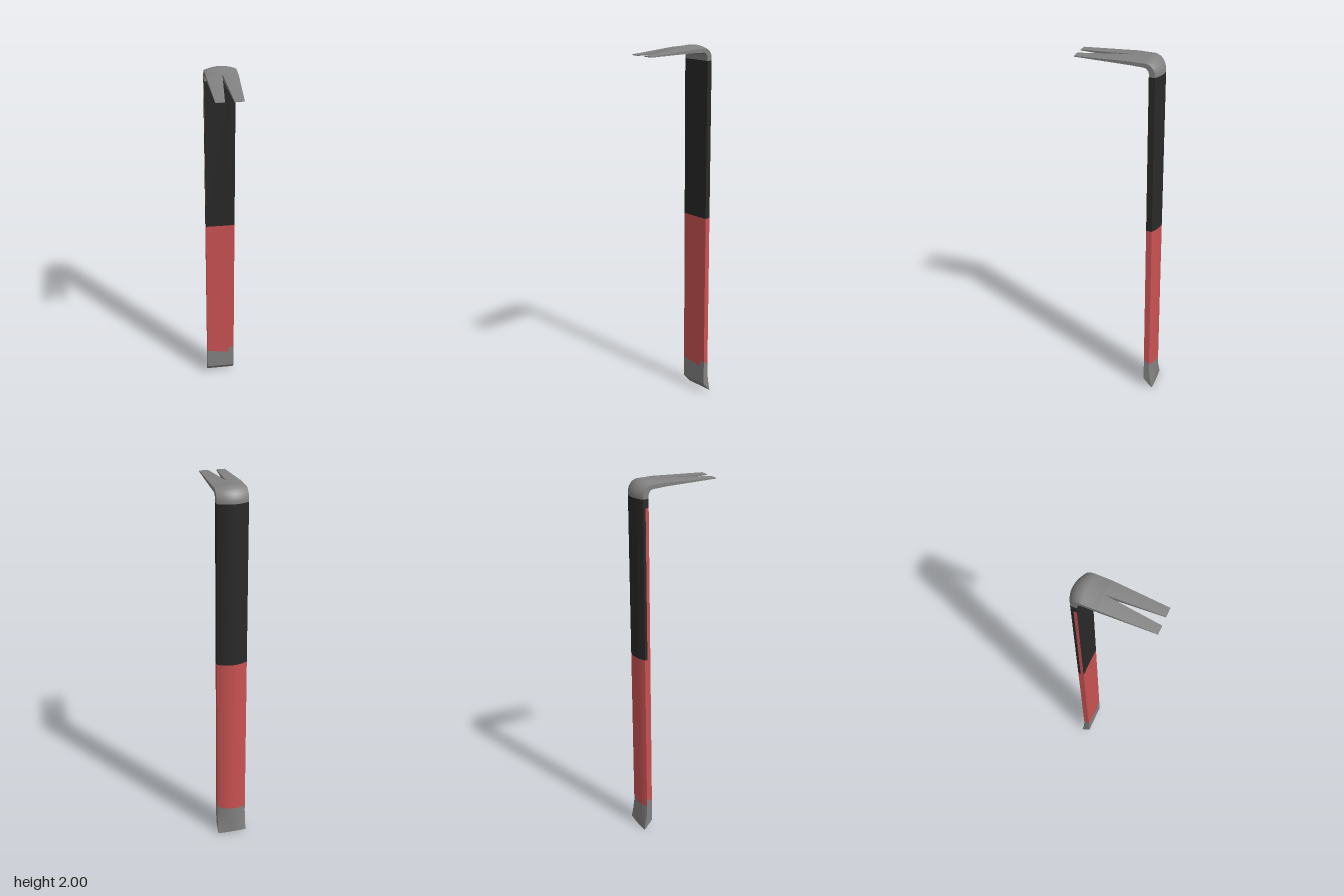
import * as THREE from 'three';
import { toCreasedNormals } from 'three/addons/utils/BufferGeometryUtils.js';

const W = 0.08; // half width of the bar
const ARC = 14; // segments over the crowned back

// Station on the bar: inner face position, outward angle, thickness at edges and centre
const station = (y, z, angle, side, crown) => ({ y, z, angle, side, crown });
const shaft = (y) => station(y, -0.165, 0, 0.031, 0.057);

// D-shaped ring: flat inner face, straight sides, crowned outer face.
// edge(i) gives an optional height offset for each point group.
function ring(s, xa = -W, xb = W, edge = () => 0) {
  const pts = [];
  const add = (x, d, part) => pts.push(new THREE.Vector3(
    x, s.y + d * Math.sin(s.angle) + edge(x, part), s.z - d * Math.cos(s.angle)));
  const depth = (x) => s.side + (s.crown - s.side) * (1 - (x / W) ** 2);
  const step = xa + (xb - xa) * 0.81;
  add(xa, 0, 'front');
  add(step, 0, 'front');
  add(step, 0, 'notch');
  add(xb, 0, 'notch');
  for (let i = 0; i <= ARC; i++) {
    const x = xb + (xa - xb) * i / ARC;
    add(x, depth(x), 'back');
  }
  add(xa, depth(xa), 'side');
  add(xa, depth(xa) * 0.55, 'side');
  return pts;
}

// Skin a list of rings; keep() selects columns, caps close the ends
function loft(rings, { keep = () => true, capStart = false, capEnd = false } = {}) {
  const pos = [];
  const ab = new THREE.Vector3(), ac = new THREE.Vector3();
  const tri = (a, b, c) => {
    ab.subVectors(b, a); ac.subVectors(c, a);
    if (ab.cross(ac).length() > 1e-10) pos.push(...a.toArray(), ...b.toArray(), ...c.toArray());
  };
  const n = rings[0].length;
  for (let r = 0; r + 1 < rings.length; r++) {
    for (let j = 0; j < n; j++) {
      if (!keep(j, n)) continue;
      const k = (j + 1) % n, a = rings[r], b = rings[r + 1];
      tri(a[j], a[k], b[k]);
      tri(a[j], b[k], b[j]);
    }
  }
  const cap = (pts, flip) => {
    const c = pts.reduce((s, p) => s.add(p), new THREE.Vector3()).divideScalar(n);
    pts.forEach((p, j) => {
      const q = pts[(j + 1) % n];
      if (flip) tri(c, q, p); else tri(c, p, q);
    });
  };
  if (capStart) cap(rings[0], true);
  if (capEnd) cap(rings[rings.length - 1], false);
  const g = new THREE.BufferGeometry();
  g.setAttribute('position', new THREE.Float32BufferAttribute(pos, 3));
  return toCreasedNormals(g, 0.5);
}

export function createModel() {
  const steel = new THREE.MeshStandardMaterial({ color: 0x828282 });
  const red = new THREE.MeshStandardMaterial({ color: 0xca5252 });
  const black = new THREE.MeshStandardMaterial({ color: 0x292929 });
  steel.name = 'steel';
  red.name = 'red paint';
  black.name = 'black grip';

  const group = new THREE.Group();
  group.name = 'pryBar';
  const part = (name, geometry, material) => {
    const mesh = new THREE.Mesh(geometry, material);
    mesh.name = name;
    group.add(mesh);
  };

  // Uneven edge where the red paint meets the bare steel
  const paintEdge = (x, where) => ({
    front: -0.008 - x * 0.15,
    notch: 0.022,
    back: -0.012 + x * 0.1,
    side: 0.025,
  })[where];
  const paintLine = ring(shaft(0.175), -W, W, paintEdge);

  // Chisel foot, bevelled on the front
  part('chiselFoot', loft([
    ring(station(0, -0.212, 0, 0.004, 0.006)),
    ring(station(0.055, -0.165, 0, 0.04, 0.055)),
    ring(shaft(0.12)),
    paintLine,
  ], { capStart: true }), steel);

  // Painted lower shaft
  part('lowerShaft', loft([paintLine, ring(shaft(1.07))]), red);

  // Black upper shaft with a narrow red seam along one side
  const seamTop = ring(shaft(1.88));
  const upper = [ring(shaft(1.07)), seamTop];
  part('upperShaft', loft(upper, { keep: (j, n) => j !== n - 1 }), black);
  part('sideSeam', loft(upper, { keep: (j, n) => j === n - 1 }), red);
  part('upperShaftEnd', loft([seamTop, ring(shaft(1.925))]), black);

  // Bent neck, thinning toward the claw
  const neck = [ring(shaft(1.925))];
  const R = 0.03, STEPS = 8;
  for (let i = 0; i <= STEPS; i++) {
    const t = i / STEPS, a = t * Math.PI / 2;
    neck.push(ring(station(1.94 + R * Math.sin(a), -0.135 - R * Math.cos(a), a,
      0.031 - 0.011 * t, 0.057 - 0.027 * t)));
  }
  const root = station(1.974, -0.065, Math.PI / 2, 0.018, 0.026);
  neck.push(ring(root));
  part('neck', loft(neck), steel);

  // Two tapering claw prongs with a V gap between them
  const tip = station(1.977, 0.221, Math.PI / 2, 0.004, 0.004);
  for (const [name, a0, b0, a1, b1] of [
    ['leftProng', 0, W, 0.019, 0.067],
    ['rightProng', -W, 0, -0.07, -0.025],
  ]) {
    part(name, loft([ring(root, a0, b0), ring(tip, a1, b1)], { capEnd: true }), steel);
  }

  return group;
}
